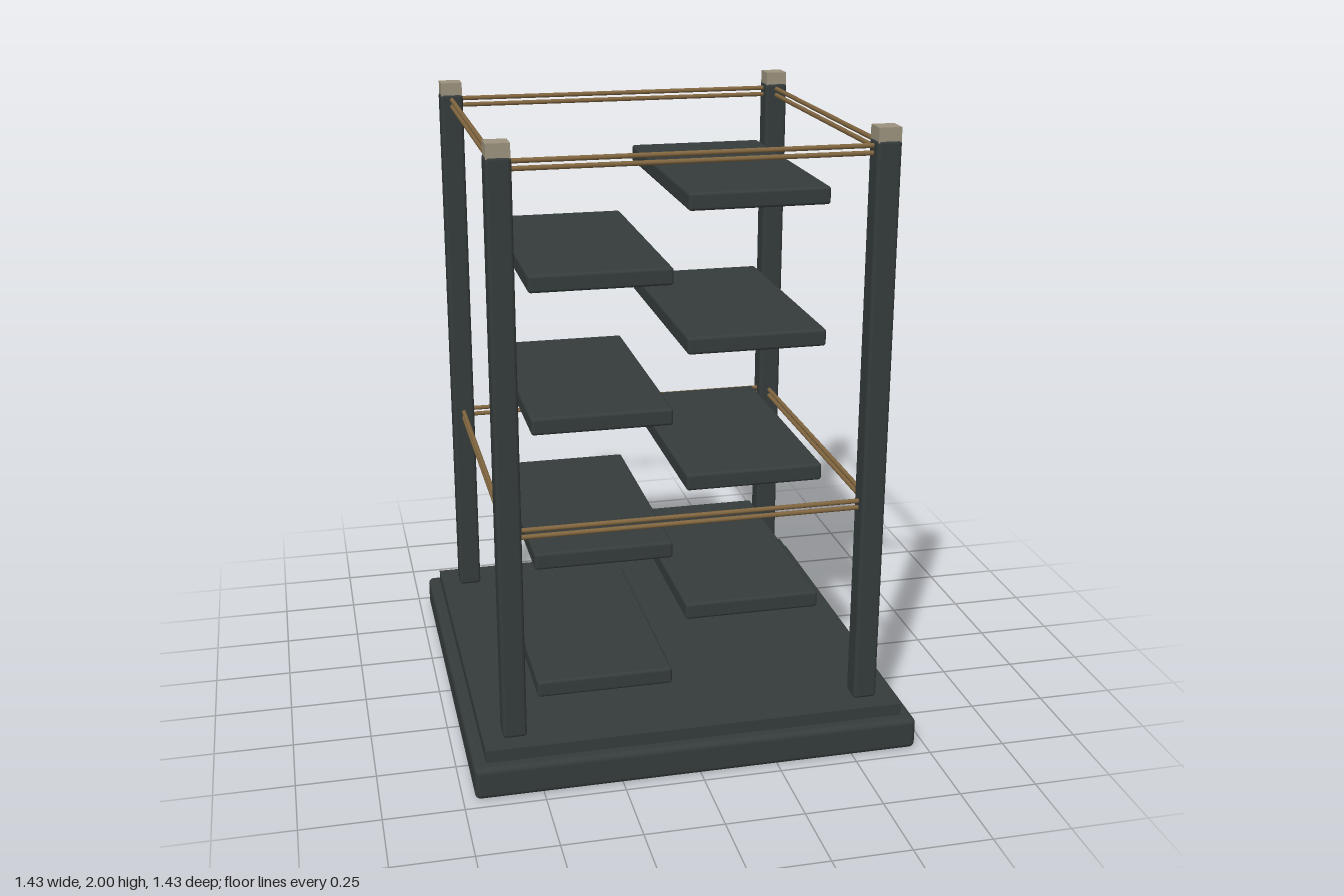
import * as THREE from 'three';
import { RoundedBoxGeometry } from 'three/addons/geometries/RoundedBoxGeometry.js';

export function createModel() {
  const model = new THREE.Group();
  model.name = 'shelfTower';

  const material = (name, color) => {
    const m = new THREE.MeshStandardMaterial({ color });
    m.name = name;
    return m;
  };
  const slate = material('darkSlate', 0x353c3b);
  const bronze = material('bronze', 0x80653f);
  const stone = material('paleStone', 0x9b927d);

  const add = (name, geometry, mat, x, y, z) => {
    const mesh = new THREE.Mesh(geometry, mat);
    mesh.name = name;
    mesh.position.set(x, y, z);
    model.add(mesh);
    return mesh;
  };

  // Stepped plinth
  add('basePlinth', new RoundedBoxGeometry(1.426, 0.105, 1.426, 3, 0.018), slate, 0, 0.0525, 0);
  add('baseDeck', new THREE.BoxGeometry(1.346, 0.05, 1.346), slate, 0, 0.12, 0);

  // Corner posts with square caps
  const corner = 0.572;
  const postGeometry = new RoundedBoxGeometry(0.076, 1.82, 0.076, 3, 0.012);
  const capGeometry = new THREE.BoxGeometry(0.07, 0.045, 0.07);
  for (const x of [-corner, corner]) {
    for (const z of [-corner, corner]) {
      add('cornerPost', postGeometry, slate, x, 1.053, z);
      add('postCap', capGeometry, stone, x, 1.9775, z);
    }
  }

  // Paired thin rods around all four sides, at mid height and at the top
  const rodGeometry = new THREE.CylinderGeometry(0.0075, 0.0075, corner * 2, 12);
  for (const y of [0.802, 0.824, 1.921, 1.943]) {
    for (const side of [-corner, corner]) {
      add('crossRod', rodGeometry, bronze, 0, y, side).rotation.z = Math.PI / 2;
      add('sideRod', rodGeometry, bronze, side, y, 0).rotation.x = Math.PI / 2;
    }
  }

  // Floating shelves, alternating right and left as they rise
  const shelfGeometry = new RoundedBoxGeometry(0.446, 0.056, 0.812, 3, 0.01);
  for (let i = 0; i < 8; i++) {
    const side = i % 2 ? 1 : -1;
    add(side > 0 ? 'leftShelf' : 'rightShelf', shelfGeometry, slate, side * 0.245, 0.188 + i * 0.225, 0);
  }

  return model;
}
